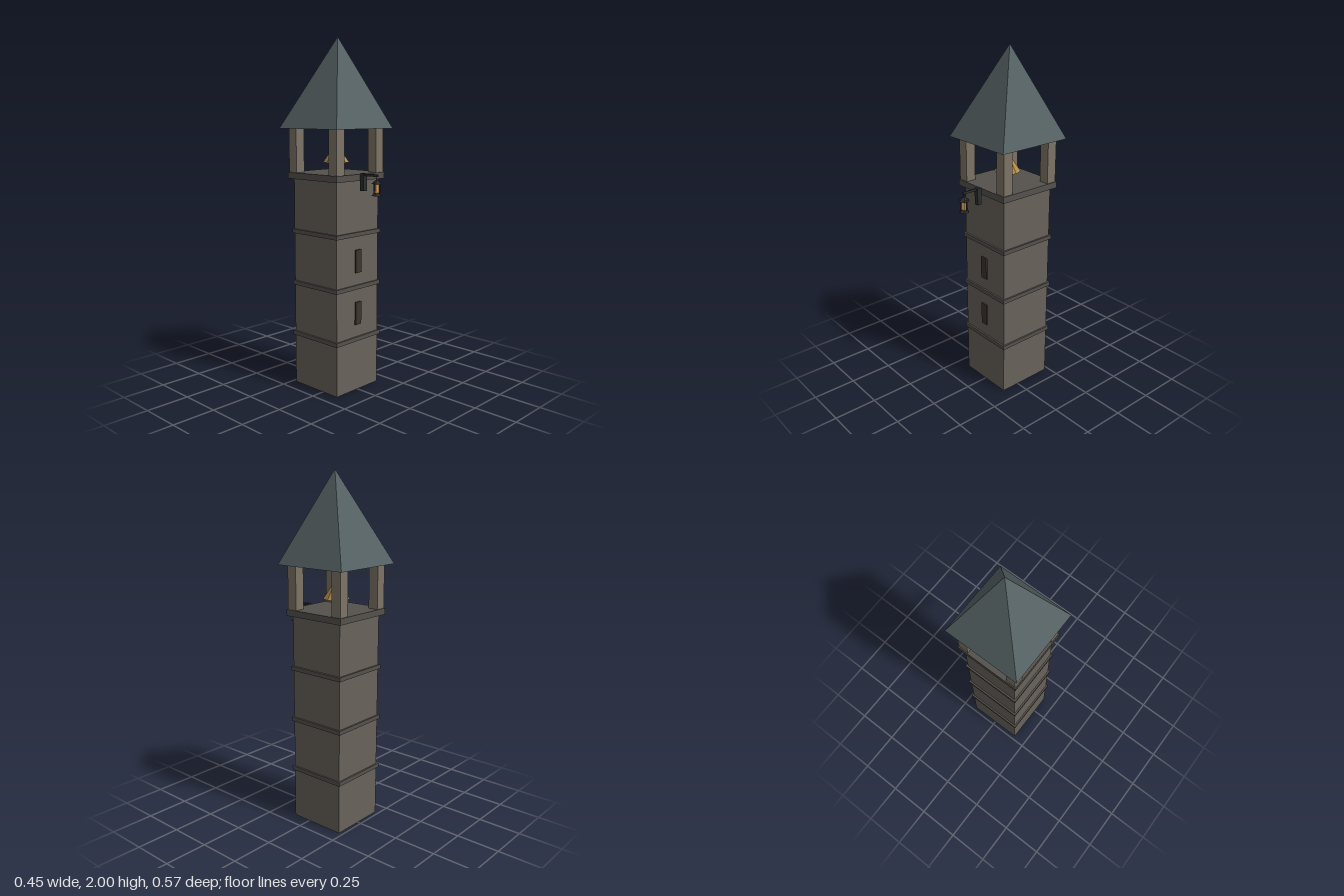
import * as THREE from 'three';

const mat = (color) => new THREE.MeshStandardMaterial({ color, flatShading: true });
const stone = mat(0x68635b), trim = mat(0x55524d), timber = mat(0x7d7467), slate = mat(0x566264),
  brass = mat(0xb08c48), dark = mat(0x3d342f), iron = mat(0x2b2e2e), glow = mat(0xe0a050);

function add(parent, name, geometry, material, x, y, z) {
  const mesh = new THREE.Mesh(geometry, material);
  mesh.name = name;
  mesh.position.set(x, y, z);
  parent.add(mesh);
  return mesh;
}
const box = (w, h, d) => new THREE.BoxGeometry(w, h, d);
const cyl = (top, bottom, h, sides) => new THREE.CylinderGeometry(top, bottom, h, sides);

export function createModel() {
  const model = new THREE.Group();
  model.name = 'bellTower';

  const tower = new THREE.Group();
  tower.name = 'tower';
  tower.position.z = -0.058;
  model.add(tower);

  // Square shaft with three string courses and the belfry floor
  add(tower, 'shaft', box(0.338, 1.215, 0.338), stone, 0, 0.6075, 0);
  for (const y of [0.305, 0.608, 0.911]) add(tower, 'stringCourse', box(0.358, 0.024, 0.358), trim, 0, y, 0);
  add(tower, 'belfryFloor', box(0.388, 0.036, 0.388), trim, 0, 1.231, 0);

  // Slit windows on the front
  for (const y of [0.455, 0.757]) add(tower, 'window', box(0.046, 0.132, 0.02), dark, 0, y, 0.167);

  // Corner posts
  for (const x of [-1, 1]) for (const z of [-1, 1]) {
    add(tower, 'cornerPost', box(0.06, 0.25, 0.06), timber, x * 0.158, 1.373, z * 0.158);
  }

  // Pyramid roof, its tip leaning slightly to one side
  const roof = cyl(0, 0.226 * Math.SQRT2, 0.504, 4).rotateY(Math.PI / 4);
  const p = roof.attributes.position;
  for (let i = 0; i < p.count; i++) if (p.getY(i) > 0) p.setX(i, p.getX(i) + 0.014);
  add(tower, 'roof', roof, slate, 0, 1.748, 0);

  // Faceted bell
  add(tower, 'bell', cyl(0, 0.074, 0.11, 8), brass, 0, 1.36, 0);

  // Wall bracket
  add(model, 'bracketPlate', box(0.026, 0.096, 0.026), iron, 0, 1.206, 0.153);
  add(model, 'bracketArm', box(0.01, 0.013, 0.116), iron, 0, 1.247, 0.198);

  // Hanging lantern
  const lantern = new THREE.Group();
  lantern.name = 'lantern';
  lantern.position.set(0, 1.138, 0.25);
  model.add(lantern);
  add(lantern, 'hanger', cyl(0.002, 0.002, 0.025, 6), iron, 0, 0.095, 0);
  add(lantern, 'lanternCap', cyl(0.007, 0.033, 0.022, 6), iron, 0, 0.076, 0);
  add(lantern, 'lanternGlass', cyl(0.017, 0.017, 0.052, 6), glow, 0, 0.04, 0);
  add(lantern, 'lanternBase', cyl(0.018, 0.03, 0.016, 6), iron, 0, 0.008, 0);
  for (let i = 0; i < 4; i++) {
    const a = i * Math.PI / 2;
    add(lantern, 'lanternBar', cyl(0.003, 0.003, 0.064, 6), iron, Math.cos(a) * 0.021, 0.043, Math.sin(a) * 0.021);
  }
  return model;
}
